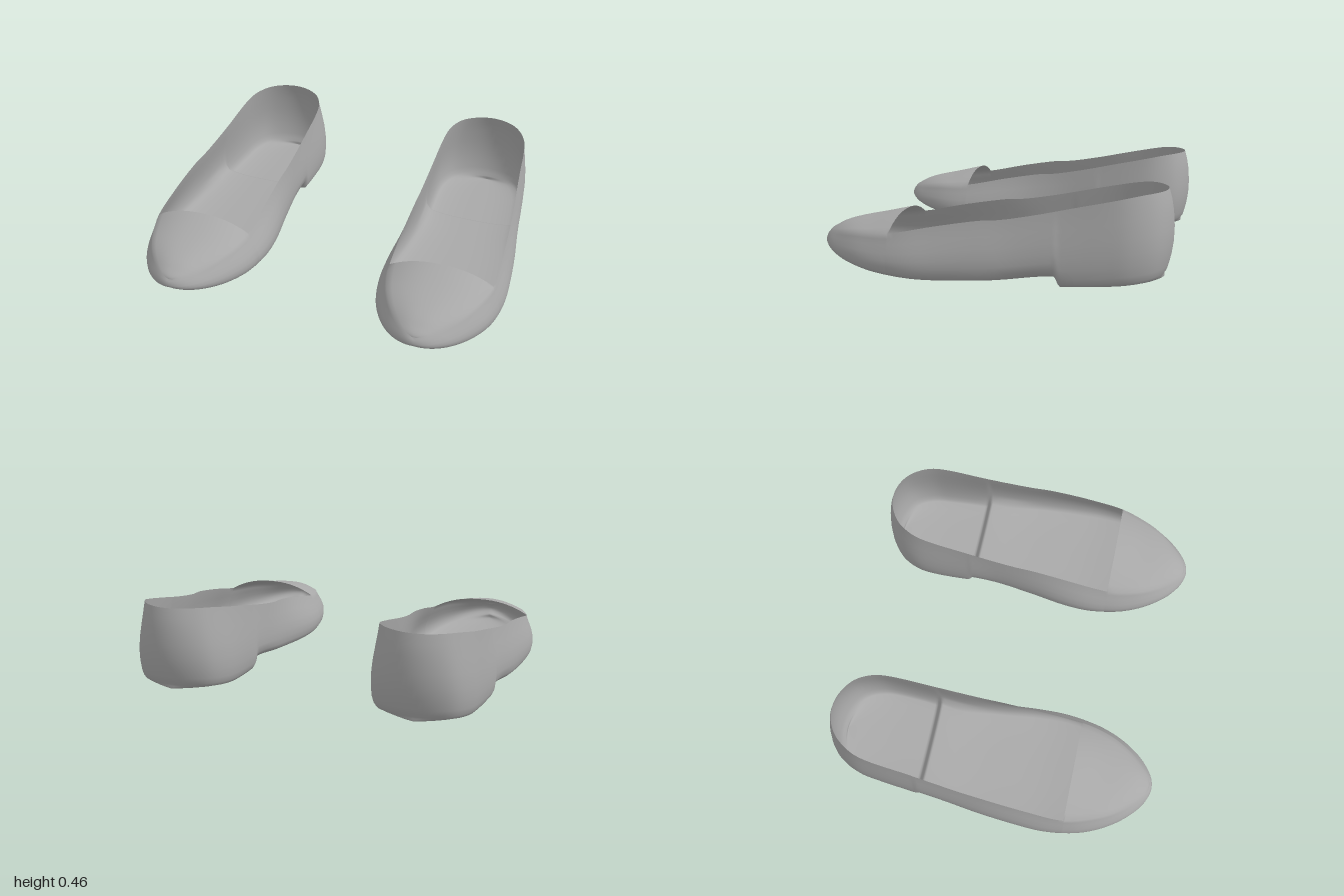
import * as THREE from 'three';
import { mergeVertices } from 'three/addons/utils/BufferGeometryUtils.js';

const HALF = 0.89, CAP_Z = 0.45;
const angle = z => Math.acos(Math.max(-1, Math.min(1, -z / HALF)));

// Smooth curve through [z, value] pairs, eased so that the ends close roundly
function curve(points) {
  const p = points.map(([z, v]) => [angle(z), v]);
  const slope = i => {
    const a = p[Math.max(i - 1, 0)], b = p[Math.min(i + 1, p.length - 1)];
    return (b[1] - a[1]) / (b[0] - a[0]);
  };
  return z => {
    const q = angle(z);
    let i = 0;
    while (i < p.length - 2 && q > p[i + 1][0]) i++;
    const h = p[i + 1][0] - p[i][0], t = (q - p[i][0]) / h, t2 = t * t, t3 = t2 * t;
    return (2 * t3 - 3 * t2 + 1) * p[i][1] + (t3 - 2 * t2 + t) * h * slope(i)
      + (3 * t2 - 2 * t3) * p[i + 1][1] + (t3 - t2) * h * slope(i + 1);
  };
}

// Widest outline of the left shoe, inner and outer side
const bodyIn = curve([[-0.89, 0.645], [-0.85, 0.49], [-0.8, 0.43], [-0.7, 0.385], [-0.6, 0.375], [-0.4, 0.38],
  [-0.2, 0.385], [0, 0.365], [0.2, 0.337], [0.35, 0.33], [0.5, 0.348], [0.6, 0.375], [0.7, 0.42], [0.8, 0.49], [0.85, 0.545], [0.89, 0.655]]);
const bodyOut = curve([[-0.89, 0.645], [-0.85, 0.8], [-0.8, 0.855], [-0.7, 0.9], [-0.6, 0.915], [-0.4, 0.935],
  [-0.2, 0.955], [0, 0.98], [0.2, 0.996], [0.35, 1], [0.5, 0.98], [0.6, 0.95], [0.7, 0.9], [0.8, 0.825], [0.85, 0.767], [0.89, 0.655]]);
// Rim of the opening, running on as the shoulder of the toe cap
const rimIn = curve([[-0.89, 0.645], [-0.85, 0.53], [-0.8, 0.475], [-0.7, 0.425], [-0.6, 0.41], [-0.4, 0.405],
  [0, 0.4], [0.45, 0.4], [0.6, 0.43], [0.7, 0.472], [0.8, 0.537], [0.85, 0.58], [0.89, 0.655]]);
const rimOut = curve([[-0.89, 0.645], [-0.85, 0.76], [-0.8, 0.81], [-0.7, 0.865], [-0.6, 0.885], [-0.4, 0.9],
  [0, 0.935], [0.25, 0.947], [0.45, 0.945], [0.6, 0.9], [0.7, 0.853], [0.8, 0.78], [0.85, 0.733], [0.89, 0.655]]);
const rimY = curve([[-0.89, 0.465], [-0.8, 0.462], [-0.7, 0.449], [-0.5, 0.41], [-0.25, 0.358], [-0.1, 0.333],
  [0, 0.326], [0.2, 0.293], [0.45, 0.243], [0.65, 0.225], [0.8, 0.2], [0.89, 0.175]]);
const crownY = curve([[0.4, 0.32], [0.45, 0.312], [0.6, 0.278], [0.73, 0.252], [0.8, 0.232], [0.85, 0.208], [0.89, 0.175]]);
const soleBase = curve([[-0.89, 0.085], [-0.83, 0.08], [-0.6, 0.06], [-0.4, 0.052], [-0.33, 0.05], [-0.1, 0.026],
  [0.1, 0.015], [0.3, 0.011], [0.5, 0.024], [0.7, 0.05], [0.8, 0.068], [0.89, 0.1]]);
// The heel drops below the sole in a short step
const soleY = z => soleBase(z) - 0.05 * THREE.MathUtils.smoothstep(-z, 0.352, 0.385);

// Wall levels from rim to sole edge: height share, blend to rim, width share, back and front end
const LEVELS = [
  [1, 1, 1, 0.86, 0.872], [0.88, 0.83, 1, 0.874, 0.88], [0.74, 0.58, 1, 0.884, 0.885], [0.55, 0.25, 1, 0.89, 0.889],
  [0.38, 0.06, 1, 0.888, 0.888], [0.24, 0, 0.995, 0.88, 0.882], [0.12, 0, 0.98, 0.869, 0.872],
  [0.05, 0, 0.95, 0.86, 0.86], [0.01, 0, 0.91, 0.848, 0.846],
];
const SOLE = 12, CAP = 16;

// One closed cross-section: outer wall, sole, inner wall, toe cap
function section(z) {
  const r4 = Math.abs(z / HALF) ** 4;
  const atEnd = L => z * (1 + r4 * ((z < 0 ? L[3] : L[4]) / HALF - 1));
  const low = soleY(z), high = rimY(z), mid = (bodyIn(z) + bodyOut(z)) / 2;
  const waist = 1 - 0.05 * Math.exp(-(((z + 0.25) / 0.12) ** 2));
  const wall = (L, body, rim) => {
    const x = THREE.MathUtils.lerp(body(z), rim(z), L[1]);
    const pinch = L[2] < 0.97 ? waist : 1;
    return [mid + (x - mid) * L[2] * pinch, THREE.MathUtils.lerp(low + 0.018, high, L[0]), atEnd(L)];
  };
  const outer = LEVELS.map(L => wall(L, bodyOut, rimOut));
  const inner = LEVELS.map(L => wall(L, bodyIn, rimIn)).reverse();
  const row = [...outer];
  const a = outer[outer.length - 1], b = inner[0];
  for (let j = 1; j < SOLE; j++) {
    const t = j / SOLE, s = Math.abs(2 * t - 1);
    row.push([THREE.MathUtils.lerp(a[0], b[0], t), THREE.MathUtils.lerp(low, a[1], s ** 3), a[2]]);
  }
  row.push(...inner);
  const c = inner[inner.length - 1], d = outer[0];
  for (let j = 1; j <= CAP; j++) {
    const t = j / CAP, s = Math.abs(2 * t - 1);
    row.push([THREE.MathUtils.lerp(c[0], d[0], t), high + (crownY(z) - high) * (1 - s ** 2.3), c[2]]);
  }
  return row;
}

function shoeGeometry(side) {
  // Stations along the shoe, denser at the ends and at the heel step
  const stations = [CAP_Z, -0.335, -0.345, -0.352, -0.36, -0.368, -0.376, -0.385, -0.395];
  const N = 64;
  for (let i = 0; i <= N; i++) {
    const z = -HALF * Math.cos(Math.PI * i / N);
    if (stations.slice(0, 9).every(s => Math.abs(s - z) > 0.006)) stations.push(z);
  }
  stations.sort((p, q) => p - q);
  const rows = stations.map(section), n = rows[0].length;
  const capStart = n - CAP - 1;
  const index = [];
  for (let i = 0; i < rows.length - 1; i++) {
    for (let j = 0; j < n - 1; j++) {
      if (j >= capStart && stations[i] < CAP_Z - 1e-6) continue; // foot opening
      const a = i * n + j, b = a + n, c = a + 1, d = b + 1;
      if (side > 0) index.push(a, b, c, b, d, c);
      else index.push(a, c, b, b, c, d);
    }
  }
  const g = new THREE.BufferGeometry();
  const pos = rows.flat().flatMap(([x, y, z]) => [x * side, y, z]);
  g.setAttribute('position', new THREE.Float32BufferAttribute(pos, 3));
  g.setIndex(index);
  const merged = mergeVertices(g, 1e-5);
  merged.computeVertexNormals();
  return merged;
}

export function createModel() {
  const group = new THREE.Group();
  group.name = 'pairOfShoes';
  const leather = new THREE.MeshStandardMaterial({ color: 0xa8a8a8, side: THREE.DoubleSide });
  leather.name = 'grey leather';
  for (const [name, side] of [['leftShoe', 1], ['rightShoe', -1]]) {
    const shoe = new THREE.Mesh(shoeGeometry(side), leather);
    shoe.name = name;
    group.add(shoe);
  }
  return group;
}
